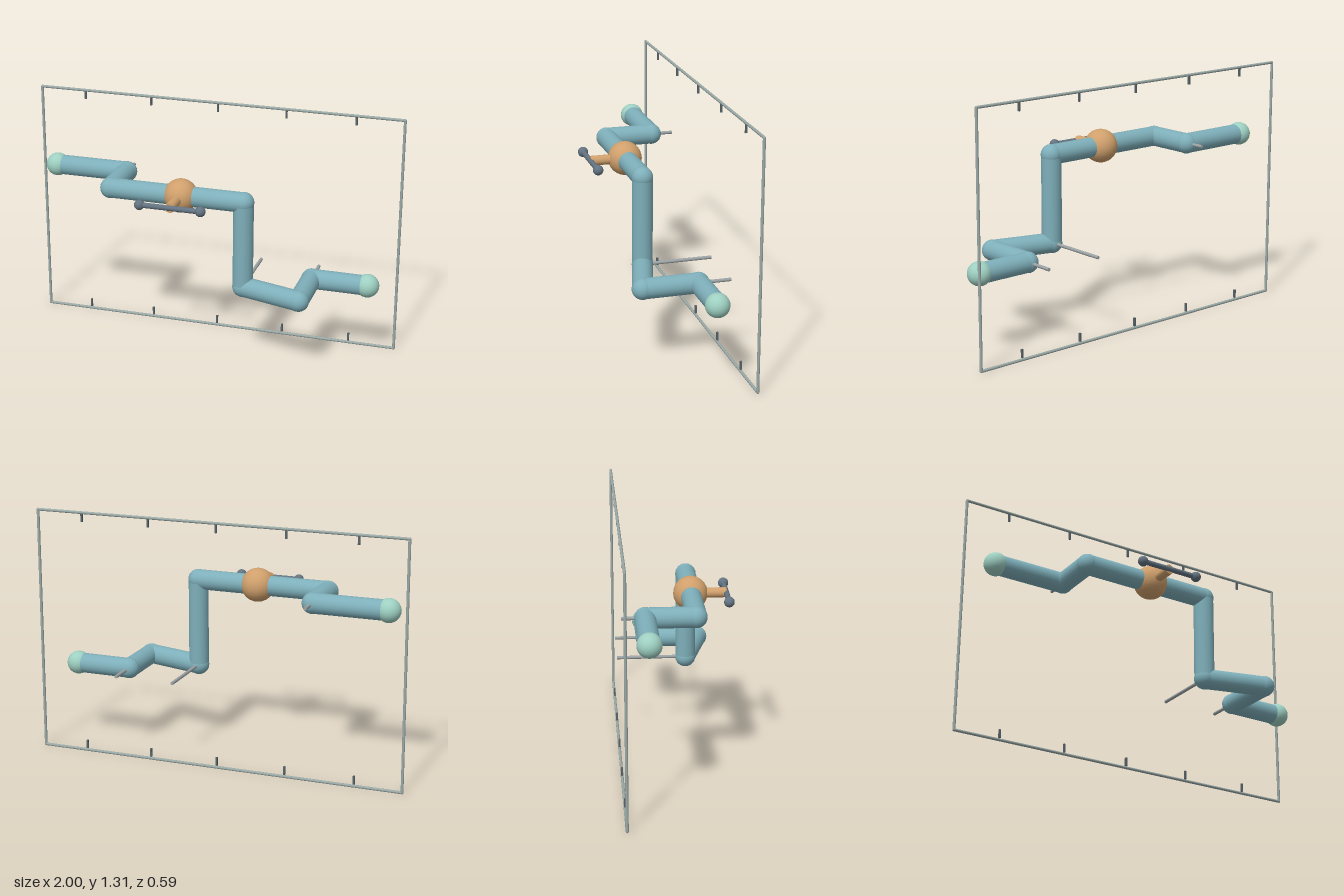
import * as THREE from 'three';

const mat = (name, color) => {
  const m = new THREE.MeshStandardMaterial({ color });
  m.name = name;
  return m;
};

export function createModel() {
  const model = new THREE.Group();
  model.name = 'pipeRun';
  const pipeBlue = mat('pipeBlue', 0x7eafba);
  const mint = mat('capMint', 0x9ed0c2);
  const bronze = mat('valveBronze', 0xd0a06c);
  const slate = mat('handleSlate', 0x637381);
  const frameGrey = mat('frameGrey', 0x9aa9a6);
  const bracketGrey = mat('bracketGrey', 0x9ca3a5);
  const tickGrey = mat('tickGrey', 0x59646a);

  const add = (name, geometry, material, pos) => {
    const mesh = new THREE.Mesh(geometry, material);
    mesh.name = name;
    mesh.position.copy(pos);
    model.add(mesh);
    return mesh;
  };
  const v = (x, y, z) => new THREE.Vector3(x, y, z);
  const up = v(0, 1, 0);

  // Cylinder stretched between two points
  const rod = (name, a, b, r, material, sides = 20) => {
    const dir = b.clone().sub(a);
    const geo = new THREE.CylinderGeometry(r, r, dir.length(), sides);
    const mesh = add(name, geo, material, a.clone().add(b).multiplyScalar(0.5));
    mesh.quaternion.setFromUnitVectors(up, dir.normalize());
  };
  const ball = (name, p, r, material) =>
    add(name, new THREE.SphereGeometry(r, 24, 16), material, p);

  // Pipe run with round elbows and end caps
  const hi = 0.905, lo = 0.435;
  const path = [
    v(-0.868, hi, -0.17), v(-0.472, hi, -0.17), v(-0.472, hi, 0.083),
    v(0.248, hi, 0.083), v(0.248, lo, 0.083), v(0.568, lo, 0.172),
    v(0.568, lo, -0.118), v(0.867, lo, -0.118),
  ];
  path.forEach((p, i) => {
    if (i > 0) rod('pipe', path[i - 1], p, 0.053, pipeBlue, 24);
    const end = i === 0 || i === path.length - 1;
    ball(end ? 'endCap' : 'elbow', p, end ? 0.062 : 0.055, end ? mint : pipeBlue);
  });

  // Valve body, stem and handle
  const vx = -0.088, hz = 0.268;
  ball('valveBody', v(vx, hi, 0.083), 0.089, bronze);
  rod('valveStem', v(vx, hi, 0.083), v(vx, hi, hz), 0.026, bronze);
  rod('valveHandle', v(vx - 0.162, hi, hz), v(vx + 0.162, hi, hz), 0.014, slate, 16);
  for (const s of [-1, 1]) ball('handleKnob', v(vx + s * 0.162, hi, hz), 0.027, slate);

  // Wall brackets reaching back to the frame plane
  const back = -0.288;
  for (const i of [1, 4, 6]) {
    const p = path[i];
    rod('bracket', p, v(p.x, p.y, back), 0.009, bracketGrey, 12);
  }

  // Rectangular frame with rounded corners
  const r = 0.0075, w = 1 - r, top = 1.306 - r;
  const corners = [v(-w, r, back), v(w, r, back), v(w, top, back), v(-w, top, back)];
  corners.forEach((p, i) => {
    rod('frameBar', p, corners[(i + 1) % 4], r, frameGrey, 12);
    add('frameCorner', new THREE.SphereGeometry(r, 12, 8), frameGrey, p);
  });

  // Tick marks on the top and bottom bars
  const tickGeo = new THREE.BoxGeometry(0.01, 0.045, 0.01);
  for (let i = -2; i <= 2; i++) {
    for (const y of [r + 0.0325, top - 0.0265]) {
      add('tick', tickGeo, tickGrey, v(i * 0.371, y, back));
    }
  }
  return model;
}
